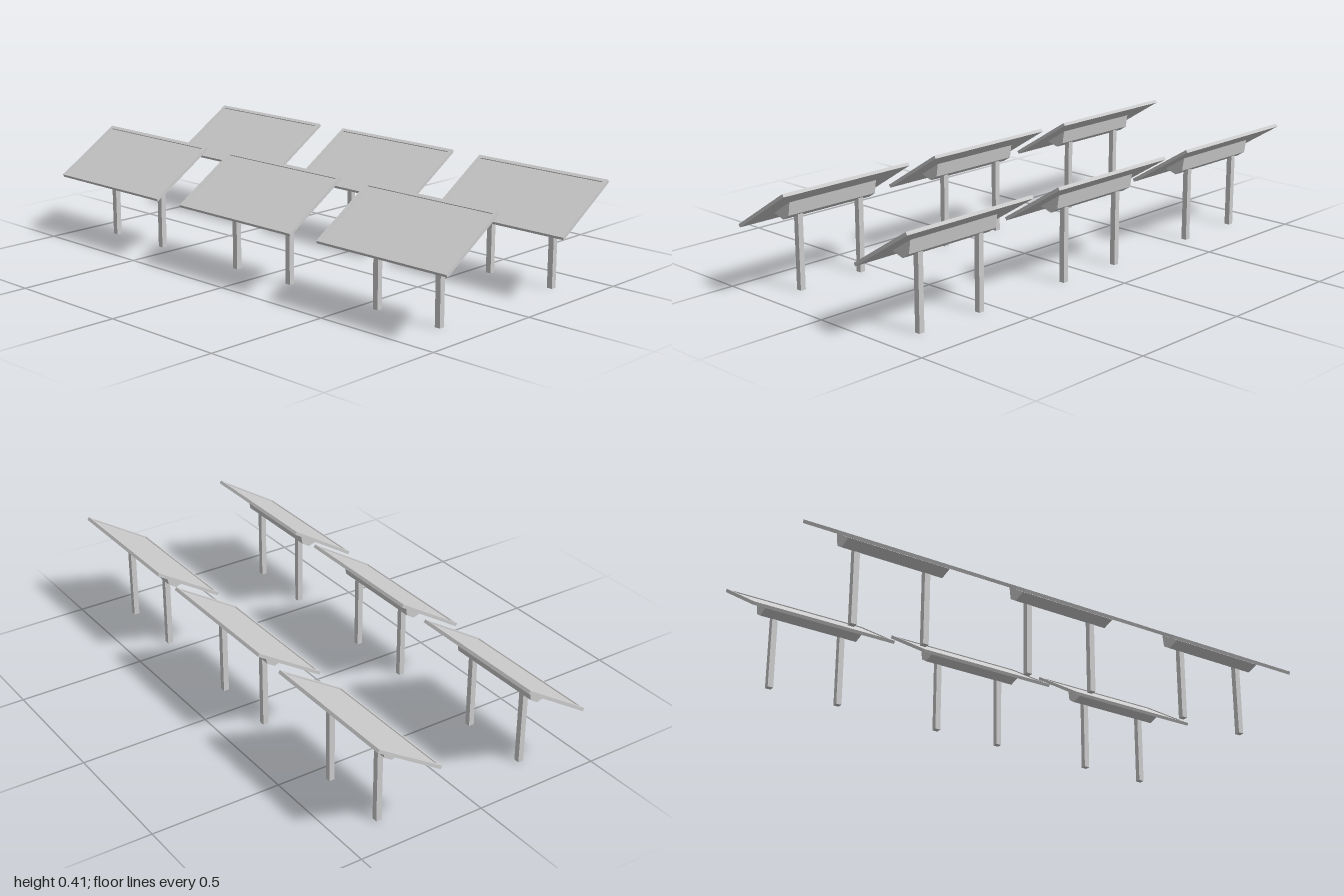
import * as THREE from 'three';

const TILT = 0.561, WIDTH = 0.58, LENGTH = 0.304, THICK = 0.0125, RIM = 0.014, RECESS = 0.004;

function rectangle(target, w, h) {
  target.moveTo(-w / 2, -h / 2);
  target.lineTo(w / 2, -h / 2);
  target.lineTo(w / 2, h / 2);
  target.lineTo(-w / 2, h / 2);
  target.closePath();
  return target;
}

export function createModel() {
  const grey = new THREE.MeshStandardMaterial({ color: 0xcccccc });
  grey.name = 'light grey';

  const part = (name, geometry, parent, x = 0, y = 0, z = 0) => {
    const mesh = new THREE.Mesh(geometry, grey);
    mesh.name = name;
    mesh.position.set(x, y, z);
    parent.add(mesh);
    return mesh;
  };

  // Rim around the panel, lying flat and centred on its thickness
  const innerW = WIDTH - 2 * RIM, innerL = LENGTH - 2 * RIM;
  const rimShape = rectangle(new THREE.Shape(), WIDTH, LENGTH);
  rimShape.holes.push(rectangle(new THREE.Path(), innerW, innerL));
  const rimGeo = new THREE.ExtrudeGeometry(rimShape, { depth: THICK, bevelEnabled: false });
  rimGeo.translate(0, 0, -THICK / 2).rotateX(-Math.PI / 2);

  // Slightly recessed panel face
  const faceGeo = new THREE.BoxGeometry(innerW, THICK - RECESS, innerL);

  // Mounting beam: profile drawn as (-z, y), extruded along x
  const beamLength = 0.4;
  const profile = [[-0.352, 0.287], [-0.303, 0.272], [-0.272, 0.292], [-0.264, 0.343]];
  const beamShape = new THREE.Shape(profile.map(([a, b]) => new THREE.Vector2(a, b)));
  const beamGeo = new THREE.ExtrudeGeometry(beamShape, { depth: beamLength, bevelEnabled: false });
  beamGeo.translate(0, 0, -beamLength / 2).rotateY(Math.PI / 2).translate(0, 0, -0.311);

  const postGeo = new THREE.BoxGeometry(0.022, 0.285, 0.022);

  const model = new THREE.Group();
  model.name = 'solarArray';

  // Two rows of three panels
  for (const z of [0.311, -0.311]) {
    for (const x of [-0.71, 0, 0.71]) {
      const unit = new THREE.Group();
      unit.name = 'solarPanelUnit';
      unit.position.set(x, 0, z);
      model.add(unit);

      const panel = new THREE.Group();
      panel.name = 'tiltedPanel';
      panel.position.y = 0.321;
      panel.rotation.x = TILT;
      unit.add(panel);
      part('panelRim', rimGeo, panel);
      part('panelFace', faceGeo, panel, 0, -RECESS / 2, 0);

      part('mountingBeam', beamGeo, unit);
      for (const side of [-1, 1]) part('post', postGeo, unit, side * 0.14, 0.1425, -0.018);
    }
  }
  return model;
}
